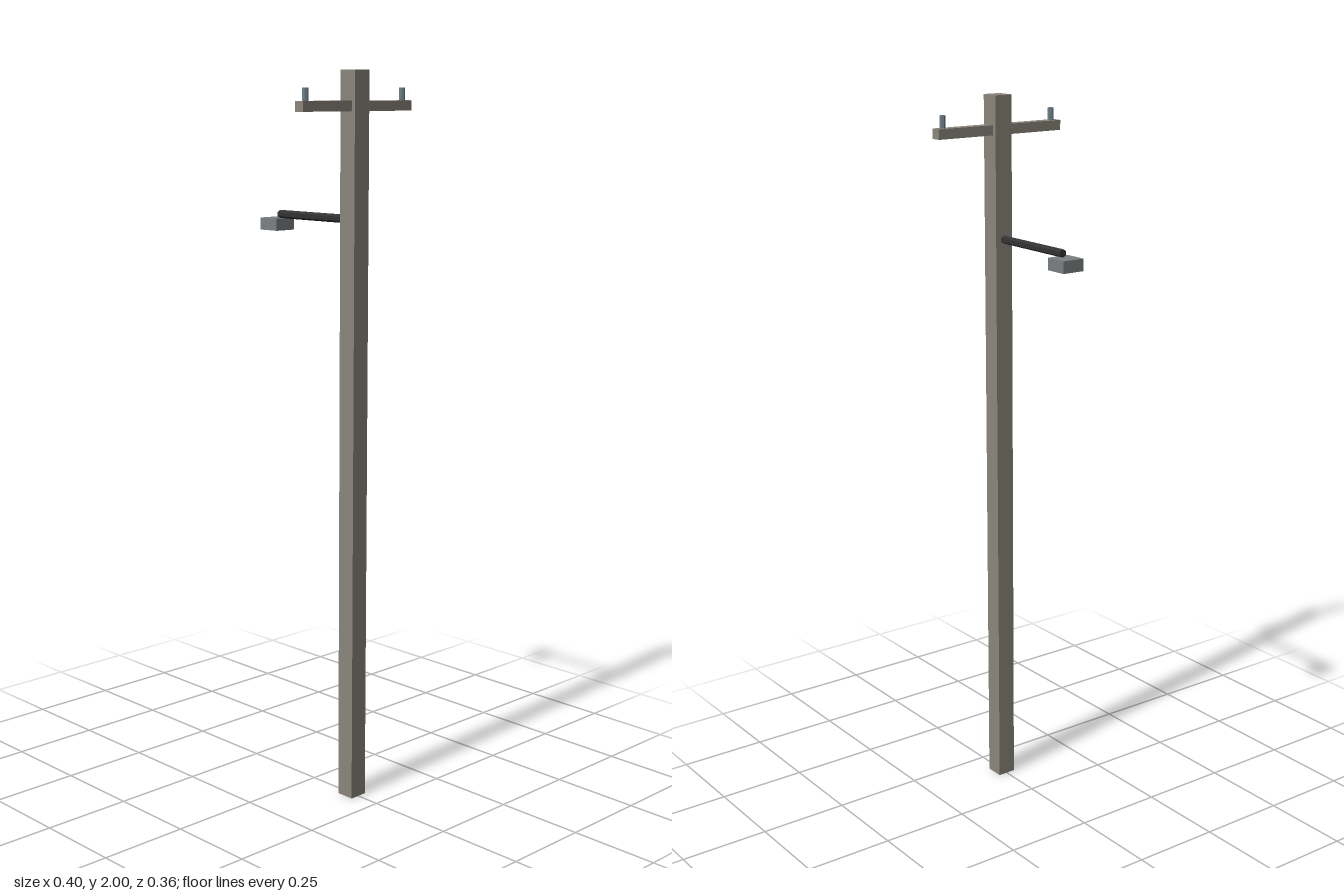
import * as THREE from 'three';

const POLE_Z = 0.152;

export function createModel() {
  const model = new THREE.Group();
  const paint = (color) => new THREE.MeshStandardMaterial({ color, flatShading: true });
  const wood = paint(0x8b867c);
  const iron = paint(0x333333);
  const housing = paint(0x7c8082);
  const ceramic = paint(0x6f8089);

  const add = (name, geometry, material, x, y, z) => {
    const mesh = new THREE.Mesh(geometry, material);
    mesh.name = name;
    mesh.position.set(x, y, z);
    model.add(mesh);
    return mesh;
  };

  // Square pole and the crossarm through its top
  add('pole', new THREE.BoxGeometry(0.053, 2, 0.053), wood, 0, 1, POLE_Z);
  add('crossarm', new THREE.BoxGeometry(0.4, 0.027, 0.03), wood, 0, 1.908, POLE_Z);

  // Six-sided insulator pegs at both ends of the crossarm
  for (const side of [1, -1]) {
    add(side > 0 ? 'leftInsulator' : 'rightInsulator',
      new THREE.CylinderGeometry(0.008, 0.008, 0.034, 6), ceramic, side * 0.178, 1.938, POLE_Z);
  }

  // Lamp arm reaching back from the pole, with the lamp box under its end
  const arm = add('lampArm', new THREE.CylinderGeometry(0.0113, 0.0113, 0.266, 6), iron, 0, 1.614, -0.003);
  arm.rotation.x = Math.PI / 2;
  add('lampHead', new THREE.BoxGeometry(0.066, 0.033, 0.066), housing, 0, 1.587, -0.148);

  return model;
}
